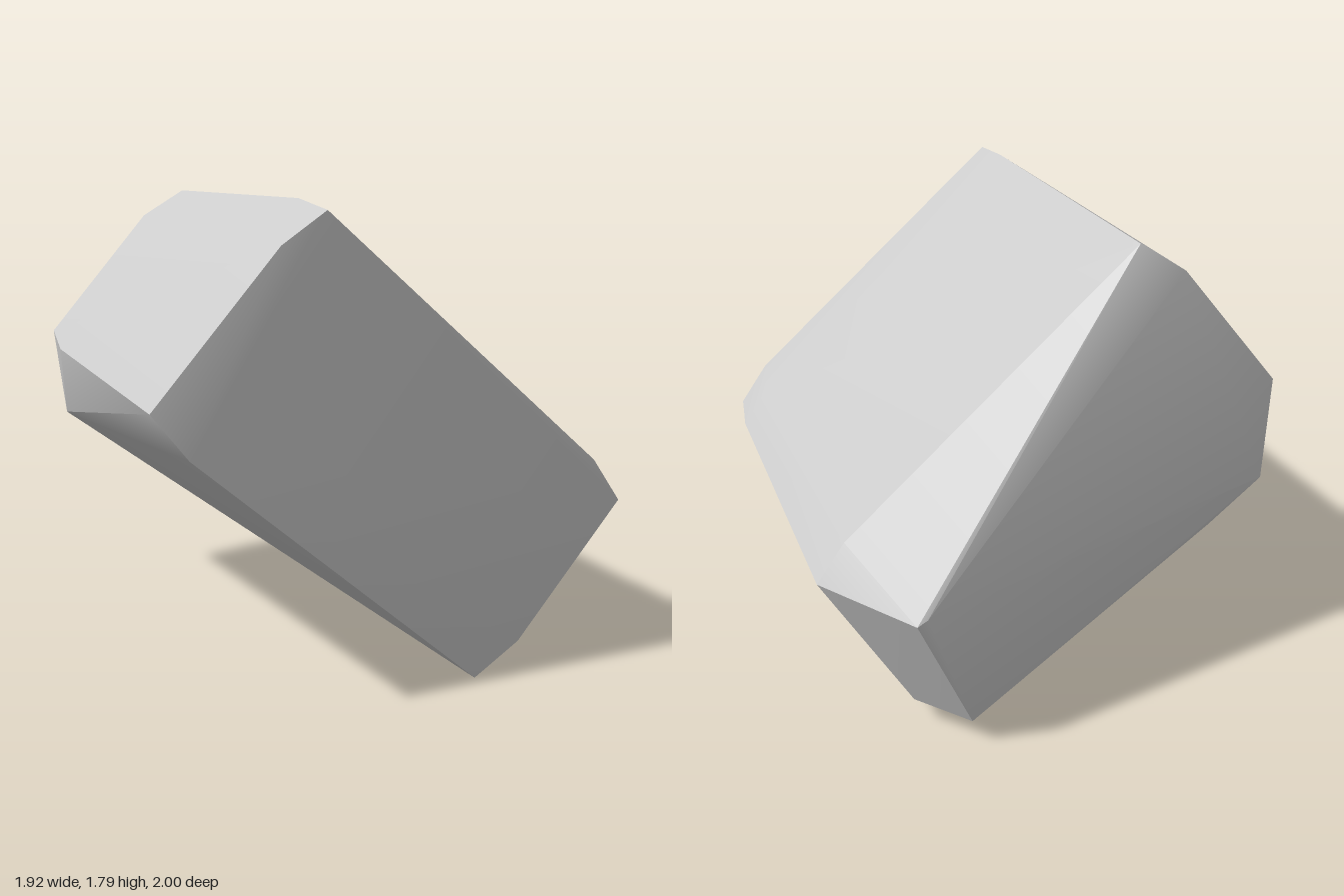
import * as THREE from 'three';
import { ConvexGeometry } from 'three/addons/geometries/ConvexGeometry.js';
import { toCreasedNormals } from 'three/addons/utils/BufferGeometryUtils.js';

// Corner rings of the tilted boulder, each running round the block from the top ridge
const frontRing = [
  [-0.36, 1.76, 0.97], [0.76, 0.81, 0.99], [0.88, 0.64, 1.0], [0.45, 0.13, 0.98],
  [0.28, 0, 0.95], [-0.84, 0.97, 0.95], [-0.96, 1.13, 0.92], [-0.52, 1.65, 0.96],
];
const middleRing = [
  [-0.33, 1.79, 0.68], [0.82, 0.82, 0.7], [0.93, 0.67, 0.7], [0.52, 0.11, 0.72],
  [0.63, 0.11, 0.42], [0.32, 0, -0.42], [-0.92, 1.14, -0.44],
];
const backRing = [
  [-0.28, 1.79, -0.68], [0.85, 0.82, -0.66], [0.96, 0.67, -0.66], [0.64, 0.11, -0.75],
  [0.38, 0.04, -0.7], [-0.82, 0.79, -0.8], [-0.88, 1.18, -0.73], [-0.45, 1.68, -0.72],
];
// Bulge of the rear face
const rearBulge = [
  [0.66, 0.66, -1.0], [0.7, 0.64, -1.0], [0.48, 0.11, -0.95], [-0.58, 0.64, -0.82],
];

export function createModel() {
  const group = new THREE.Group();
  group.name = 'boulder';

  const corners = [...frontRing, ...middleRing, ...backRing, ...rearBulge]
    .map((p) => new THREE.Vector3(...p));
  // Worn edges are softened, the main breaks stay sharp
  const geometry = toCreasedNormals(new ConvexGeometry(corners), 0.45);
  const rock = new THREE.Mesh(geometry, new THREE.MeshStandardMaterial({ color: 0xcccccc }));
  rock.name = 'rock';
  group.add(rock);
  return group;
}
